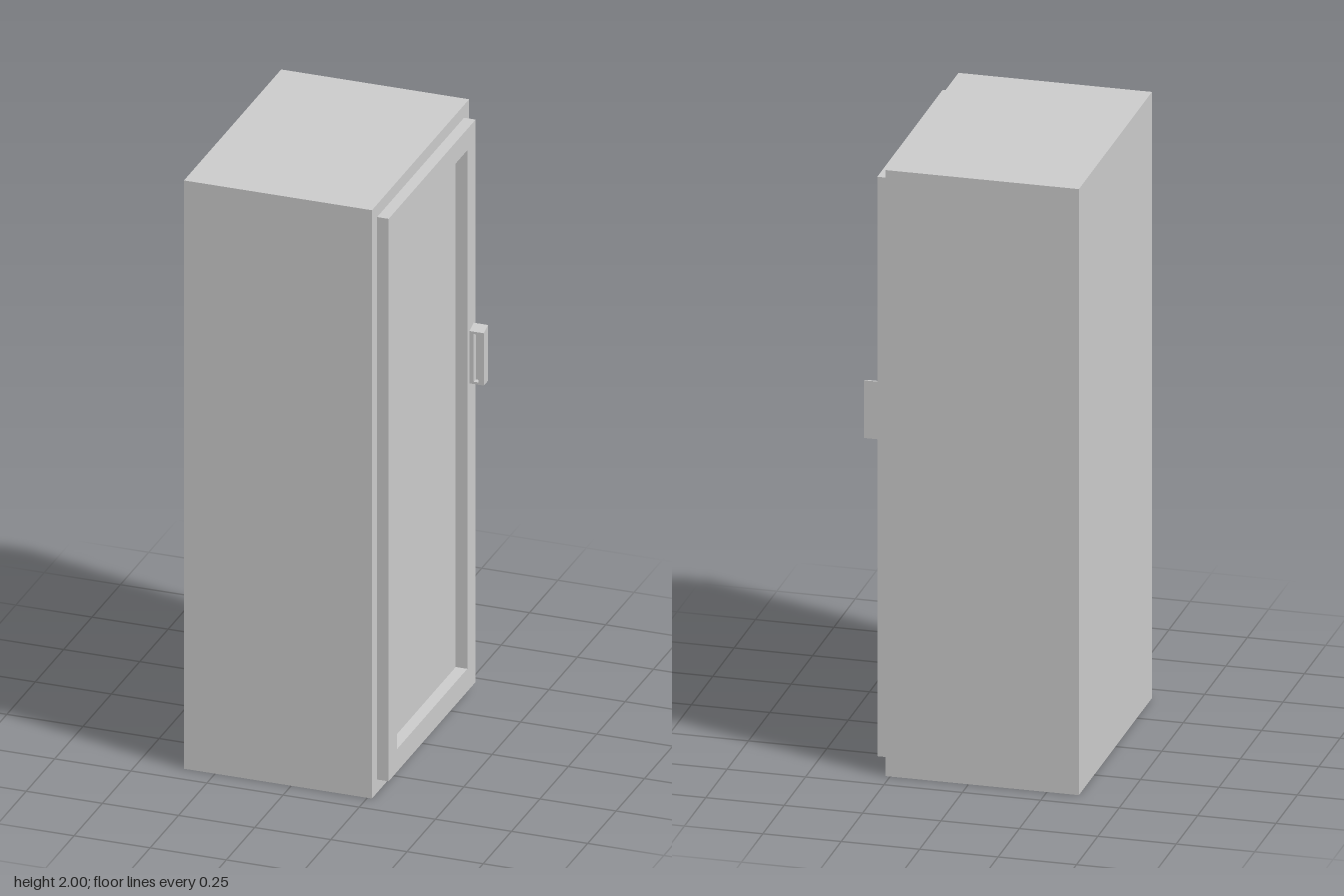
import * as THREE from 'three';

const material = new THREE.MeshStandardMaterial({ color: 0xcccccc, flatShading: true });

function add(parent, name, geometry) {
  const mesh = new THREE.Mesh(geometry, material);
  mesh.name = name;
  parent.add(mesh);
  return mesh;
}

// Outline points are [-z, y]; the outline is extruded along +x from x0 to x1
function extrudeX(points, x0, x1, hole) {
  const toVectors = (list) => list.map(([a, y]) => new THREE.Vector2(a, y));
  const shape = new THREE.Shape(toVectors(points));
  if (hole) shape.holes.push(new THREE.Path(toVectors(hole)));
  const geometry = new THREE.ExtrudeGeometry(shape, { depth: x1 - x0, bevelEnabled: false });
  return geometry.rotateY(Math.PI / 2).translate(x0, 0, 0);
}

const rect = (a, y0, y1) => [[-a, y0], [a, y0], [a, y1], [-a, y1]];

export function createModel() {
  const model = new THREE.Group();
  model.name = 'cabinet';

  // Tall plain body; its +x face is the floor of the door recess
  const faceX = 0.265, doorX = 0.303, backX = -0.352;
  const body = add(model, 'body', new THREE.BoxGeometry(faceX - backX, 2, 0.856));
  body.position.set((faceX + backX) / 2, 1, 0);

  // Door: raised frame around a recessed panel
  const door = new THREE.Group();
  door.name = 'door';
  model.add(door);
  add(door, 'doorFrame', extrudeX(rect(0.383, 0.045, 1.957), faceX, doorX, rect(0.31, 0.122, 1.885)));

  // Handle: two cheeks with a sloped top, and a hollowed core forming the finger groove
  const handle = new THREE.Group();
  handle.name = 'handle';
  door.add(handle);
  const near = 0.329, far = 0.366, low = 1.084;
  const cheek = [[near, low], [far, low], [far, 1.274], [near, 1.262]];
  const core = [
    [near, low], [far, low], [far, 1.274], [near, 1.262],
    [near, 1.254], [near + 0.018, 1.254], [near + 0.018, low + 0.008], [near, low + 0.008],
  ];
  add(handle, 'innerCheek', extrudeX(cheek, doorX, 0.317));
  add(handle, 'grooveCore', extrudeX(core, 0.317, 0.333));
  add(handle, 'outerCheek', extrudeX(cheek, 0.333, 0.35));

  return model;
}
